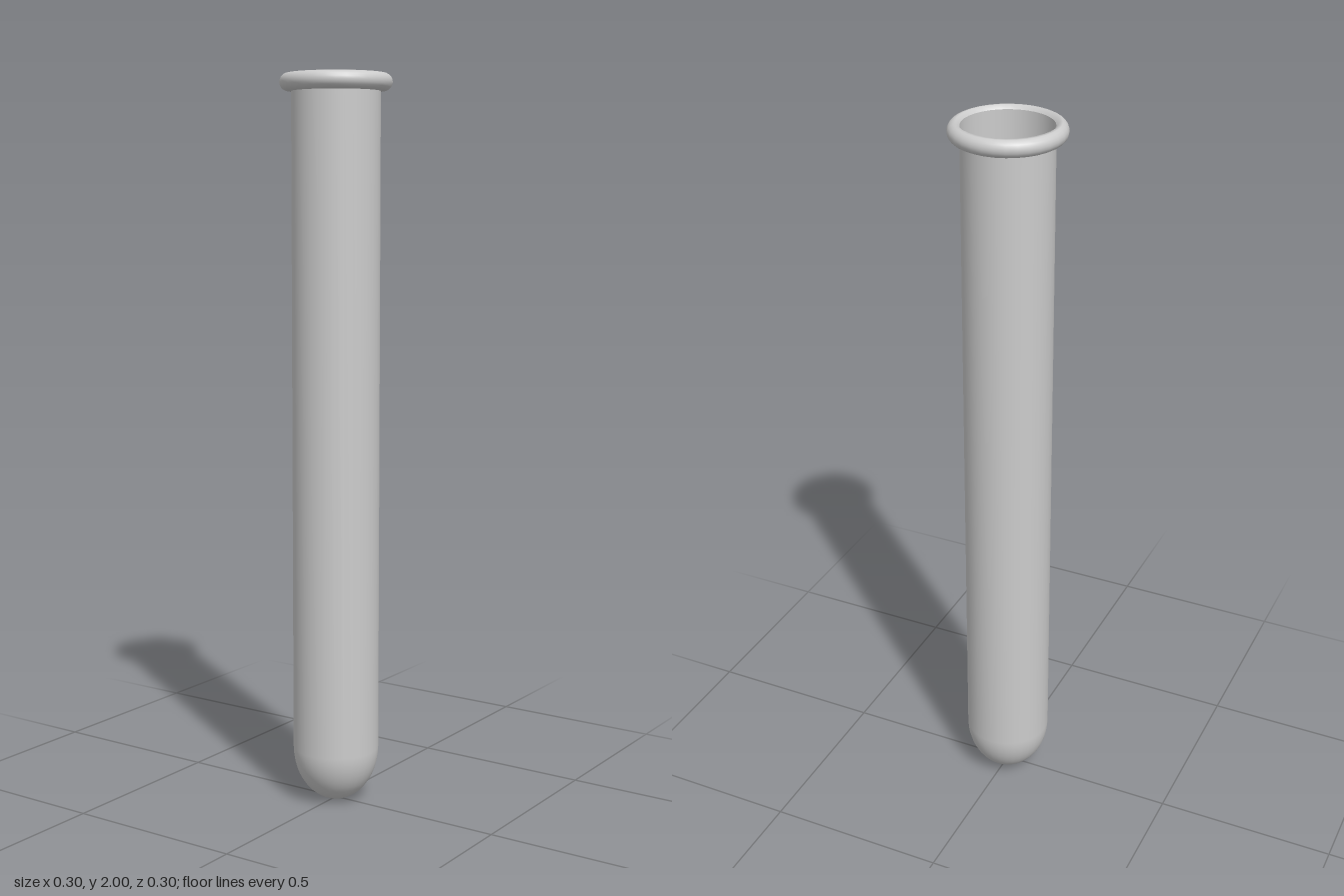
import * as THREE from 'three';

const SEGMENTS = 32;
const RADIUS = 0.119;   // tube wall
const BOTTOM = 0.15;    // height of the rounded bottom
const BEAD = 0.0235;    // half height of the rim

export function createModel() {
  const group = new THREE.Group();
  const material = new THREE.MeshStandardMaterial({ color: 0xcccccc, side: THREE.DoubleSide });

  const addLathe = (name, points) => {
    const mesh = new THREE.Mesh(new THREE.LatheGeometry(points, SEGMENTS), material);
    mesh.name = name;
    group.add(mesh);
  };

  // Thin open tube with a rounded, slightly elongated bottom
  const wall = [];
  for (let i = 0; i <= 12; i++) {
    const a = (i / 12) * Math.PI / 2;
    wall.push(new THREE.Vector2(RADIUS * Math.sin(a), BOTTOM * (1 - Math.cos(a))));
  }
  wall.push(new THREE.Vector2(RADIUS, 1.99));
  addLathe('tube', wall);

  // Rounded bead around the mouth
  const bead = [new THREE.Vector2(RADIUS, 2 - 2 * BEAD)];
  for (let i = 0; i <= 10; i++) {
    const a = (i / 10 - 0.5) * Math.PI;
    bead.push(new THREE.Vector2(0.127 + BEAD * Math.cos(a), 2 - BEAD + BEAD * Math.sin(a)));
  }
  bead.push(new THREE.Vector2(RADIUS - 0.001, 1.99));
  addLathe('rim', bead);

  return group;
}
